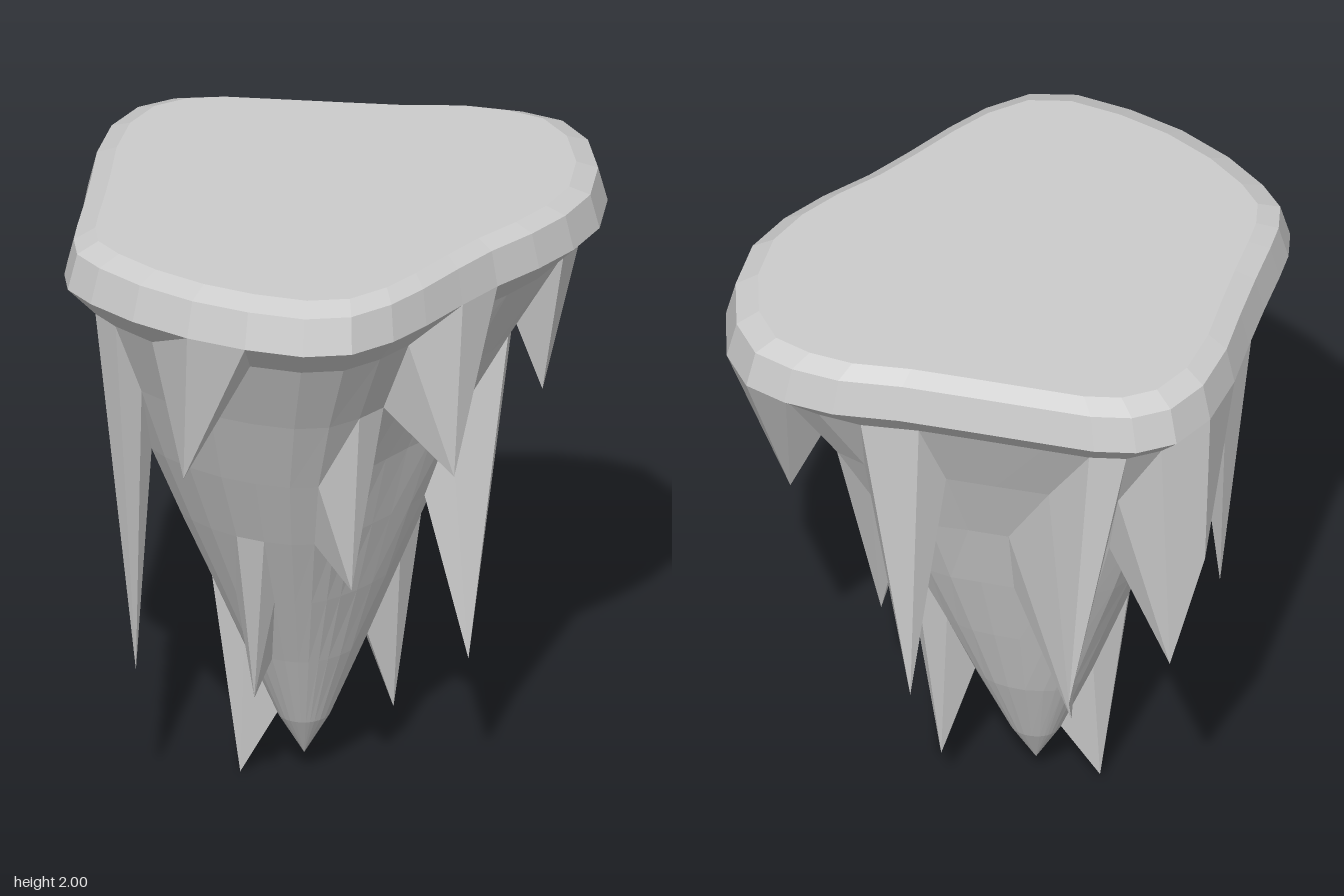
import * as THREE from 'three';

// Plan of the widest rim as [x, z], clockwise seen from above
const OUTLINE = [
  [-0.29, -0.87], [-0.16, -0.845], [0, -0.78], [0.22, -0.69], [0.42, -0.61], [0.62, -0.55],
  [0.76, -0.47], [0.865, -0.37], [0.905, -0.21], [0.88, 0], [0.8, 0.19], [0.68, 0.32],
  [0.54, 0.42], [0.38, 0.51], [0.24, 0.61], [0.09, 0.725], [-0.04, 0.81], [-0.19, 0.865],
  [-0.34, 0.84], [-0.5, 0.74], [-0.65, 0.61], [-0.78, 0.45], [-0.87, 0.29], [-0.91, 0.17],
  [-0.89, 0.06], [-0.85, -0.04], [-0.78, -0.2], [-0.71, -0.37], [-0.64, -0.55], [-0.54, -0.73],
  [-0.42, -0.84],
];
const N = OUTLINE.length;

// One level: the plan scaled, shifted and blended towards a circle
function ring(y, scale, cx, cz, round) {
  return OUTLINE.map(([x, z]) => {
    const r = Math.hypot(x, z);
    const k = scale * (1 + (0.87 / r - 1) * round);
    return new THREE.Vector3(cx + x * k, y, cz + z * k);
  });
}

function flatMesh(name, triangles, material) {
  const geometry = new THREE.BufferGeometry().setFromPoints(triangles);
  geometry.computeVertexNormals();
  const mesh = new THREE.Mesh(geometry, material);
  mesh.name = name;
  return mesh;
}

// Strips between successive rings
function skin(rings) {
  const out = [];
  for (let k = 0; k < rings.length - 1; k++) {
    const a = rings[k], b = rings[k + 1];
    for (let i = 0; i < N; i++) {
      const j = (i + 1) % N;
      out.push(a[i], a[j], b[j], a[i], b[j], b[i]);
    }
  }
  return out;
}

// Closes a ring with a fan to one point
function fan(loop, point, up) {
  return loop.flatMap((p, i) => {
    const q = loop[(i + 1) % N];
    return up ? [point, q, p] : [p, q, point];
  });
}

export function createModel() {
  const group = new THREE.Group();
  group.name = 'floatingIsland';
  const material = new THREE.MeshStandardMaterial({ color: 0xcccccc, flatShading: true });

  // Flat top slab with bevelled rim
  const slab = [ring(2, 0.885, 0, 0, 0), ring(1.97, 0.965, 0, 0, 0), ring(1.855, 1, 0, 0, 0)];
  group.add(flatMesh('topSlab', [
    ...fan(slab[0], new THREE.Vector3(0, 2, 0), true),
    ...skin(slab),
  ], material));

  // Rock body tapering to a point
  const levels = [
    slab[2],
    ring(1.75, 0.873, -0.02, 0, 0),
    ring(1.49, 0.72, -0.055, -0.01, 0.05),
    ring(1.23, 0.59, -0.08, -0.02, 0.1),
    ring(0.98, 0.475, -0.083, -0.03, 0.25),
    ring(0.72, 0.35, -0.083, -0.04, 0.45),
    ring(0.46, 0.225, -0.083, -0.05, 0.7),
    ring(0.2, 0.095, -0.085, -0.05, 0.9),
  ];

  // Hanging spikes: [level, corner of that level, tip x, y, z]; the corner is pulled down to the tip
  const spikes = [
    [1, 20, -0.63, 1.32, 0.5], [1, 14, 0.205, 1.28, 0.635],
    [1, 8, 0.685, 1.205, -0.055], [1, 29, -0.53, 1.27, -0.68],
    [2, 23, -0.69, 0.52, 0.17], [2, 1, -0.1, 0.77, -0.71],
    [2, 30, -0.42, 0.87, -0.68], [2, 5, 0.37, 0.7, -0.51],
    [3, 16, -0.085, 0.86, 0.49], [3, 10, 0.36, 0.46, 0.25], [3, 2, -0.14, 0.52, -0.47],
    [5, 8, 0.22, 0.15, -0.11], [5, 20, -0.305, 0.37, 0.16],
    [6, 26, -0.28, 0, -0.09],
  ];
  for (const [level, corner, x, y, z] of spikes) levels[level][corner].set(x, y, z);

  group.add(flatMesh('spikedRockBody', [
    ...skin(levels),
    ...fan(levels[levels.length - 1], new THREE.Vector3(-0.085, 0.06, -0.05), false),
  ], material));
  return group;
}
